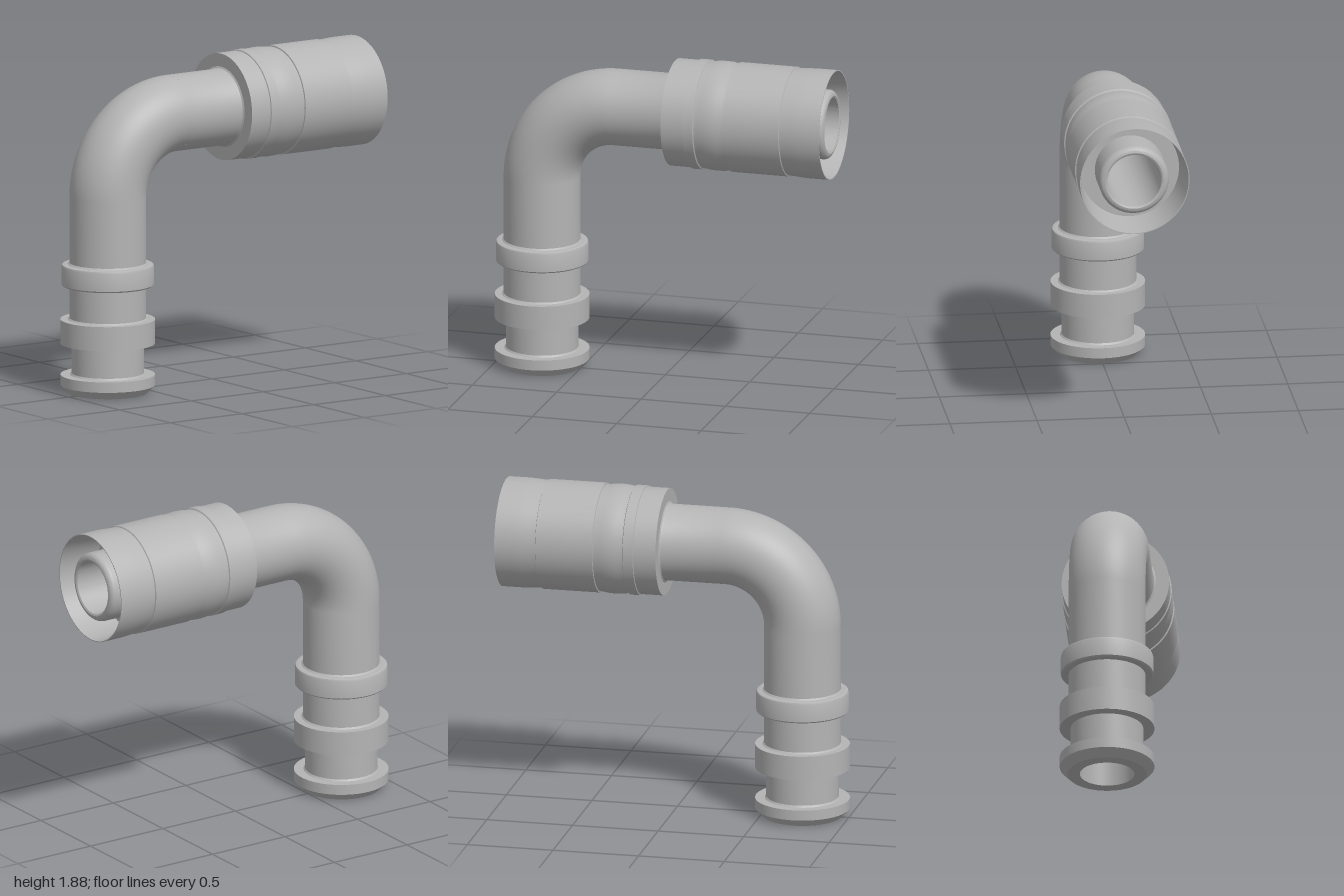
import * as THREE from 'three';
import { toCreasedNormals } from 'three/addons/utils/BufferGeometryUtils.js';

const PIPE = 0.219, BORE = 0.155, BEND = 0.44;
const STEM_X = -0.73, ARM_Y = 1.57;

export function createModel() {
  const group = new THREE.Group();
  const metal = new THREE.MeshStandardMaterial({ color: 0xb4b4b4, side: THREE.DoubleSide });
  metal.name = 'grey metal';

  const add = (name, geometry) => {
    const mesh = new THREE.Mesh(geometry, metal);
    mesh.name = name;
    group.add(mesh);
    return mesh;
  };
  // Profiles are [radius, distance along the axis], outside first and bore last
  const turned = (name, profile) => add(name, toCreasedNormals(
    new THREE.LatheGeometry(profile.map(([r, d]) => new THREE.Vector2(r, d)), 96), 0.45));

  // Vertical stem with three raised rings
  turned('stem', [
    [BORE, 0], [0.225, 0], [0.27, 0.045], [0.27, 0.105],
    [0.215, 0.105], [0.207, 0.115], [0.207, 0.285],
    [0.27, 0.285], [0.27, 0.425], [0.228, 0.425], [PIPE, 0.434],
    [PIPE, 0.62], [0.256, 0.62], [0.264, 0.628],
    [0.264, 0.73], [0.26, 0.741], [0.25, 0.745], [0.228, 0.745], [PIPE, 0.754],
    [PIPE, ARM_Y - BEND],
  ]).position.x = STEM_X;
  turned('stemBore', [[BORE, ARM_Y - BEND], [BORE, 0]]).position.x = STEM_X;

  // Quarter-turn elbow, outside and bore
  for (const [name, radius] of [['elbow', PIPE], ['elbowBore', BORE]]) {
    const bend = add(name, new THREE.TorusGeometry(BEND, radius, 64, 48, Math.PI / 2));
    bend.rotation.z = Math.PI / 2;
    bend.position.set(STEM_X + BEND, ARM_Y - BEND, 0);
  }

  // Parts lying along the horizontal arm
  const along = (name, profile) => {
    const mesh = turned(name, profile);
    mesh.rotation.z = -Math.PI / 2;
    mesh.position.y = ARM_Y;
  };
  along('arm', [[PIPE, STEM_X + BEND], [PIPE, 0.045], [0.222, 0.054], [0.232, 0.06]]);

  // Crimped sleeve with a thin flared lip and recessed inner face
  along('sleeve', [
    [0.232, 0.06], [0.307, 0.06], [0.307, 0.19],
    [0.314, 0.192], [0.314, 0.25], [0.306, 0.254], [0.307, 0.27],
    [0.312, 0.3], [0.314, 0.34], [0.312, 0.38], [0.307, 0.41], [0.306, 0.427],
    [0.314, 0.429], [0.314, 0.76],
    [0.307, 0.763], [0.309, 0.8], [0.312, 0.84], [0.314, 0.88], [0.314, 1],
    [0.309, 1], [0.283, 0.76], [0.2, 0.76],
  ]);

  // Inner nozzle with a rounded tip
  const tip = [];
  for (let i = 0; i <= 8; i++) {
    const a = (i / 8) * Math.PI / 2;
    tip.push([0.165 + 0.035 * Math.cos(a), 0.955 + 0.035 * Math.sin(a)]);
  }
  along('nozzle', [[0.2, 0.76], ...tip, [BORE, 0.985]]);
  along('armBore', [[BORE, 0.985], [BORE, STEM_X + BEND]]);

  return group;
}
